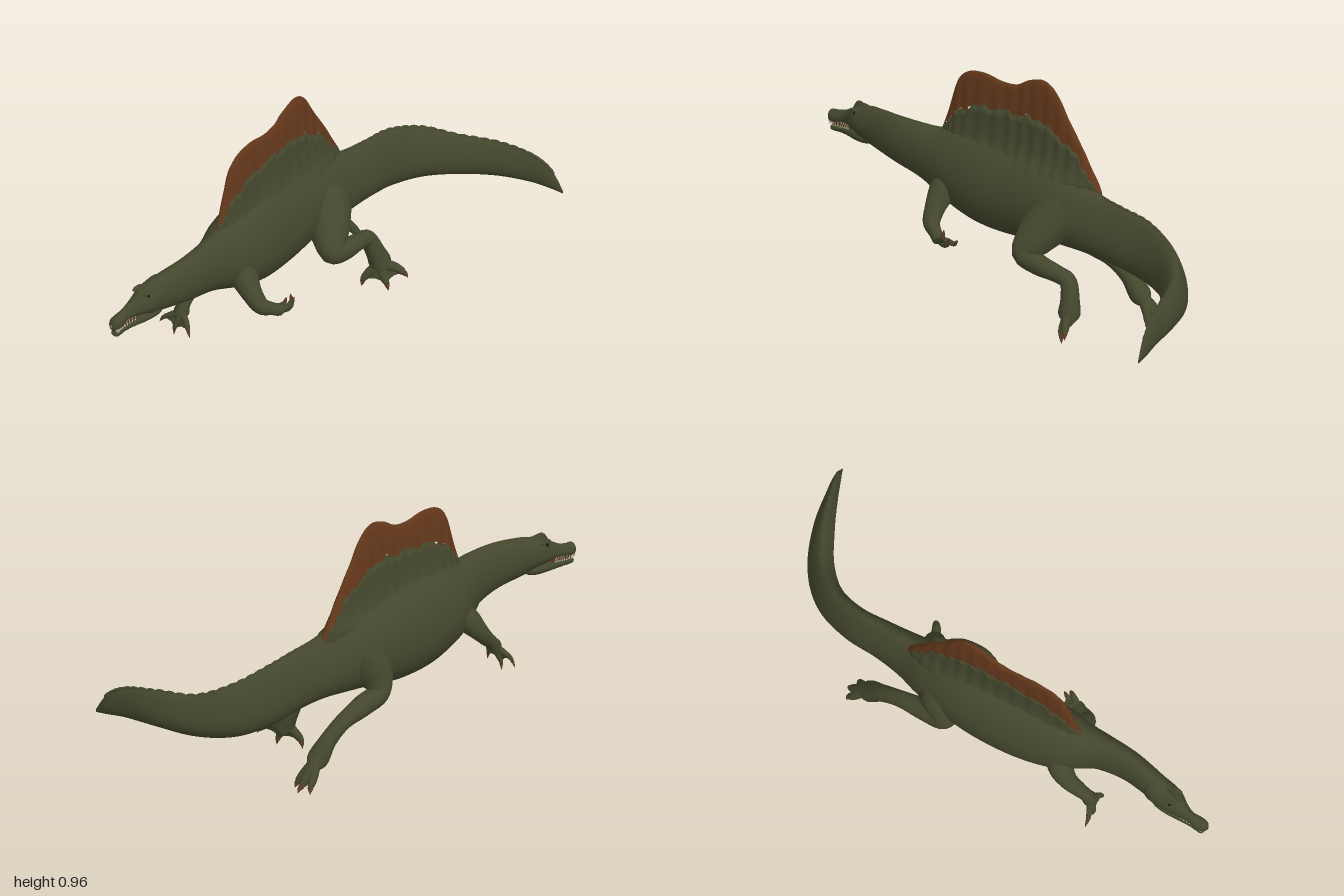
import * as THREE from 'three';

const material = (name, color) => {
  const m = new THREE.MeshStandardMaterial({ color, side: THREE.DoubleSide });
  m.name = name;
  return m;
};

// Smooth interpolation of equally long rows, t from 0 to 1
function spline(rows, t) {
  const n = rows.length - 1, i = Math.min(Math.floor(t * n), n - 1), f = t * n - i;
  const [a, b, c, d] = [-1, 0, 1, 2].map(k => rows[Math.max(0, Math.min(n, i + k))]);
  return b.map((p, k) => p + 0.5 * f * (c[k] - a[k] +
    f * (2 * a[k] - 5 * p + 4 * c[k] - d[k] + f * (3 * (p - c[k]) + d[k] - a[k]))));
}

// Skin over rings of points; closed rings join their last point to their first
function skin(rings, closed) {
  const m = rings[0].length, index = [];
  for (let i = 0; i < rings.length - 1; i++)
    for (let j = 0; j < (closed ? m : m - 1); j++) {
      const k = (j + 1) % m, a = i * m + j, b = i * m + k;
      index.push(a, b, a + m, b, b + m, a + m);
    }
  const g = new THREE.BufferGeometry();
  g.setAttribute('position', new THREE.Float32BufferAttribute(rings.flat(2), 3));
  g.setIndex(index);
  g.computeVertexNormals();
  return g;
}

// Rows are [x, z, bottom, top, half width, narrowing of the upper half]
function loft(rows, steps, sides) {
  const rings = [];
  for (let i = 0; i <= steps; i++) {
    const t = i / steps, [x, z, y0, y1, w, pinch] = spline(rows, t);
    const p = spline(rows, Math.max(0, t - 0.01)), q = spline(rows, Math.min(1, t + 0.01));
    const dx = q[0] - p[0], dz = q[1] - p[1], l = Math.hypot(dx, dz) || 1;
    const ring = [];
    for (let j = 0; j < sides; j++) {
      const a = j / sides * Math.PI * 2, s = Math.sin(a);
      const r = Math.max(w, 0.001) * Math.cos(a) * (1 - pinch * s);
      ring.push([x + dz / l * r, (y0 + y1) / 2 + (y1 - y0) / 2 * s, z - dx / l * r]);
    }
    rings.push(ring);
  }
  return skin(rings, true);
}

// Tube whose radius follows the fourth number of each row
function limb(rows, steps = 40, sides = 14) {
  const curve = new THREE.CatmullRomCurve3(rows.map(r => new THREE.Vector3(r[0], r[1], r[2])));
  const g = new THREE.TubeGeometry(curve, steps, 1, sides), pos = g.attributes.position;
  const v = new THREE.Vector3();
  for (let i = 0; i <= steps; i++) {
    const c = curve.getPointAt(i / steps);
    const r = Math.max(0.0008, spline(rows, curve.getUtoTmapping(i / steps))[3]);
    for (let j = 0; j <= sides; j++) {
      const k = i * (sides + 1) + j;
      v.fromBufferAttribute(pos, k).sub(c).multiplyScalar(r).add(c);
      pos.setXYZ(k, v.x, v.y, v.z);
    }
  }
  return g;
}

export function createModel() {
  const model = new THREE.Group();
  const green = material('olive skin', 0x44472d), rust = material('rust sail', 0x64381b);
  const horn = material('brown claw', 0x5a3c27), ivory = material('ivory teeth', 0xc8bfa6);
  const flesh = material('mouth flesh', 0x55321c), dark = material('dark eye', 0x17140e);
  const add = (name, geometry, mat, parent = model) => {
    const m = new THREE.Mesh(geometry, mat);
    m.name = name;
    parent.add(m);
    return m;
  };

  // Neck, trunk and curving tail
  const body = [
    [-.235, .86, .47, .52, .015, 0], [-.235, .82, .435, .555, .042, 0], [-.225, .75, .425, .583, .048, .1],
    [-.2, .62, .405, .6, .053, .1], [-.197, .5, .38, .605, .064, .1], [-.205, .42, .345, .607, .085, .12],
    [-.215, .32, .3, .63, .115, .15], [-.22, .18, .262, .645, .133, .12], [-.225, .02, .26, .645, .133, .12],
    [-.22, -.12, .285, .63, .125, .12], [-.205, -.25, .3, .595, .107, .2], [-.19, -.36, .305, .562, .082, .3],
    [-.18, -.48, .297, .548, .066, .35], [-.17, -.62, .275, .53, .058, .35], [-.12, -.755, .262, .488, .055, .35],
    [-.015, -.855, .265, .44, .05, .35], [.13, -.922, .28, .432, .04, .35], [.26, -.96, .282, .41, .024, .3],
    [.34, -.98, .273, .36, .014, .2], [.392, -.988, .266, .28, .002, 0]];
  add('body', loft(body, 150, 32), green);

  // Low scutes along the top of the tail
  for (let i = 0; i < 26; i++) {
    const t = 0.6 + 0.35 * i / 25, [x, z, , y] = spline(body, t), q = spline(body, t + 0.01);
    const s = add('tailScute', new THREE.SphereGeometry(1, 10, 6), green);
    s.position.set(x, y - 0.001, z);
    s.scale.set(0.02, 0.007, 0.007);
    s.rotation.set(0, Math.atan2(-(q[1] - z), q[0] - x), Math.atan2(q[3] - y, Math.hypot(q[0] - x, q[1] - z)), 'YXZ');
  }

  // Sail in two bands: rows are [z, top, colour boundary]
  const crest = [[.41, .61, .61], [.375, .71, .665], [.335, .84, .71], [.28, .895, .745], [.2, .91, .775],
    [.12, .9, .785], [.05, .908, .79], [-.01, .945, .795], [-.08, .965, .795], [-.14, .93, .765],
    [-.2, .83, .73], [-.26, .735, .685], [-.31, .645, .61], [-.355, .565, .56]];
  const blade = upper => {
    const rings = [], steps = 130, half = 14;
    for (let i = 0; i <= steps; i++) {
      const [z, top, edge] = spline(crest, i / steps);
      const base = 0.54, mid = Math.min(top - 0.002, edge + 0.014 * Math.sin(i * 0.6) * Math.sin(i * 0.23 + 1));
      const lo = upper ? mid : base, hi = upper ? top : mid, ring = [];
      const spread = Math.sin(Math.PI * i / steps), taper = 0.3 + 0.7 * Math.sqrt(Math.max(0, spread));
      for (let k = -half; k <= half; k++) {
        const y = lo + (hi - lo) * (1 - Math.abs(k) / half), g = (y - base) / (top - base);
        const rib = 1 + 0.1 * Math.sin(i * 0.68);
        const w = (0.015 + 0.014 * (1 - g)) * rib * taper + spread * Math.min(0.05, 0.07 * Math.exp(-(y - 0.57) / 0.045));
        ring.push([-.212 + Math.sign(k) * w * Math.sqrt(Math.max(0, 1 - g ** 8)), y, z]);
      }
      rings.push(ring);
    }
    return skin(rings, false);
  };
  add('lowerSail', blade(false), green);
  add('upperSail', blade(true), rust);

  // Head with long snout, lower jaw and mouth lining
  const head = new THREE.Group();
  head.name = 'head';
  model.add(head);
  const snout = [[-.265, 1, .45, .465, .005, 0], [-.265, .988, .436, .487, .02, 0], [-.265, .96, .438, .492, .026, .1],
    [-.262, .92, .45, .505, .021, .2], [-.255, .88, .454, .53, .03, .3], [-.245, .84, .45, .56, .045, .25],
    [-.238, .8, .445, .57, .052, .15], [-.23, .74, .44, .578, .05, .1], [-.22, .7, .47, .55, .02, 0]];
  const jaw = [[-.265, .986, .412, .42, .005, 0], [-.265, .975, .402, .432, .019, 0], [-.262, .93, .404, .438, .018, 0],
    [-.255, .88, .408, .449, .028, 0], [-.245, .83, .412, .465, .042, 0], [-.235, .77, .42, .47, .042, 0],
    [-.225, .72, .45, .47, .01, 0]];
  add('snout', loft(snout, 48, 20), green, head);
  add('lowerJaw', loft(jaw, 40, 18), green, head);
  add('mouthLining', loft([[-.265, .97, .425, .445, .012, 0], [-.26, .91, .425, .46, .011, 0],
    [-.25, .85, .43, .465, .022, 0], [-.24, .8, .44, .46, .025, 0]], 16, 12), flesh, head);
  add('headCrest', loft([[-.252, .875, .52, .53, .003, .3], [-.246, .85, .53, .572, .008, .4],
    [-.242, .825, .53, .58, .009, .4], [-.236, .79, .54, .57, .004, .3]], 16, 10), green, head);
  for (const side of [-1, 1]) {
    const brow = add('browRidge', new THREE.SphereGeometry(1, 12, 8), green, head);
    brow.scale.set(.01, .008, .028);
    brow.position.set(-.243 + side * .027, .549, .832);
    const eye = add('eye', new THREE.SphereGeometry(.006, 12, 8), dark, head);
    eye.position.set(-.244 + side * .034, .537, .836);
    for (let i = 0; i < 9; i++) {
      const [x, z, y, , w] = spline(snout, .14 + .34 * i / 8);
      const upper = add('upperTooth', new THREE.ConeGeometry(.0035, .018, 5), ivory, head);
      upper.position.set(x + side * w * .72, y + .001, z);
      upper.rotation.x = Math.PI;
      const [jx, jz, , jy, jw] = spline(jaw, .16 + .32 * i / 8);
      add('lowerTooth', new THREE.ConeGeometry(.003, .015, 5), ivory, head)
        .position.set(jx + side * jw * .72, jy + .001, jz);
    }
  }

  // Limbs: a tapering path, then digits as [knuckle, tip, claw point]
  const addLimb = (name, path, ball, digits, size) => {
    const group = new THREE.Group();
    group.name = name;
    model.add(group);
    add(name + 'Muscle', limb(path, 56, 16), green, group);
    digits.forEach(([knuckle, tip, point], i) => {
      add('digit', limb([[...ball, size * 1.3], [...knuckle, size], [...tip, size * .7],
        [...tip.map((v, k) => v + (point[k] - v) * .12), size * .2]], 16, 10), green, group);
      add('claw', limb([[...tip, size * .66], [...tip.map((v, k) => (v + point[k]) / 2 + (k === 1 ? .003 : 0)), size * .48],
        [...point, .001]], 8, 8), horn, group);
      // Webbing between neighbouring digits
      if (i) {
        const [lastKnuckle, lastTip] = digits[i - 1];
        const notch = knuckle.map((v, k) => .15 * (v + lastKnuckle[k]) + .35 * (tip[k] + lastTip[k]));
        const web = new THREE.BufferGeometry();
        web.setAttribute('position', new THREE.Float32BufferAttribute([...ball, ...lastKnuckle, ...lastTip,
          ...notch, ...tip, ...knuckle], 3));
        web.setIndex([0, 1, 3, 1, 2, 3, 0, 3, 5, 3, 4, 5]);
        web.computeVertexNormals();
        add('webbing', web, green, group);
      }
    });
  };
  addLimb('leftHindLeg', [[-.19, .49, -.23, .06], [-.145, .44, -.19, .097], [-.085, .355, -.135, .08],
    [-.048, .29, -.105, .048], [-.042, .265, -.18, .042], [-.045, .25, -.27, .034], [-.045, .235, -.32, .034],
    [-.025, .17, -.345, .038], [-.006, .115, -.355, .043], [0, .07, -.355, .012]], [-.006, .115, -.355],
    [[[-.038, .075, -.325], [-.055, .045, -.31], [-.062, .008, -.308]],
      [[.02, .065, -.345], [.03, .045, -.345], [.037, .006, -.35]],
      [[.05, .105, -.38], [.075, .085, -.395], [.09, .06, -.405]]], .018);
  addLimb('rightHindLeg', [[-.245, .49, -.22, .06], [-.27, .43, -.18, .09], [-.298, .35, -.145, .07],
    [-.316, .29, -.15, .046], [-.312, .26, -.24, .042], [-.308, .23, -.34, .033], [-.306, .18, -.42, .034],
    [-.303, .115, -.48, .042], [-.302, .075, -.52, .012]], [-.303, .11, -.49],
    [[[-.328, .06, -.53], [-.335, .035, -.55], [-.342, .008, -.56]],
      [[-.303, .055, -.545], [-.3, .032, -.562], [-.295, .006, -.58]],
      [[-.276, .06, -.53], [-.262, .032, -.543], [-.252, .002, -.55]]], .018);
  addLimb('leftArm', [[-.175, .44, .34, .04], [-.135, .4, .345, .055], [-.082, .33, .35, .041], [-.047, .285, .34, .034],
    [-.02, .26, .3, .025], [-.005, .25, .275, .024], [0, .25, .26, .008]], [-.005, .25, .275],
    [[[-.025, .24, .24], [-.03, .235, .215], [-.03, .255, .2]],
      [[.005, .24, .24], [.01, .25, .22], [.012, .28, .208]],
      [[.015, .26, .25], [.02, .28, .235], [.014, .31, .235]]], .012);
  addLimb('rightArm', [[-.26, .44, .34, .045], [-.3, .4, .365, .05], [-.318, .34, .41, .037], [-.315, .29, .455, .03],
    [-.312, .26, .487, .026], [-.31, .23, .505, .03], [-.31, .205, .515, .008]], [-.31, .235, .505],
    [[[-.345, .215, .52], [-.375, .195, .53], [-.397, .163, .53]],
      [[-.32, .185, .522], [-.325, .165, .527], [-.33, .13, .525]],
      [[-.275, .21, .52], [-.26, .182, .527], [-.25, .15, .53]]], .012);

  return model;
}
